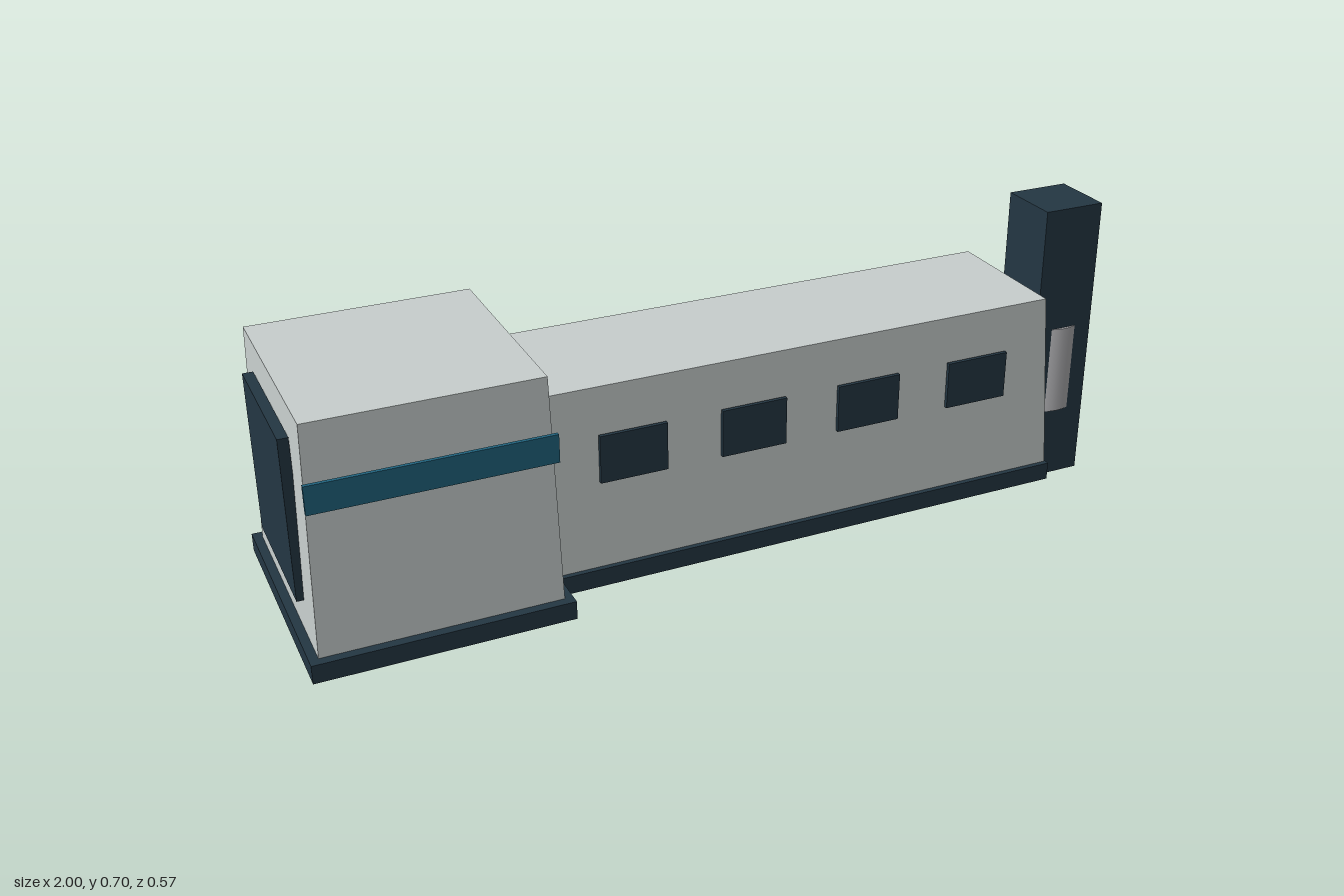
import * as THREE from 'three';

const material = (name, color) => {
  const m = new THREE.MeshStandardMaterial({ color });
  m.name = name;
  return m;
};

export function createModel() {
  const shell = material('pale grey shell', 0xc8cfce);
  const dark = material('dark slate', 0x243743);
  const teal = material('teal stripe', 0x21647f);
  const metal = material('light metal', 0xb4b4b7);

  const model = new THREE.Group();
  model.name = 'boardingTunnel';

  const add = (name, geometry, mat) => {
    const mesh = new THREE.Mesh(geometry, mat);
    mesh.name = name;
    model.add(mesh);
    return mesh;
  };

  // Box given by its limits on each axis
  const box = (name, mat, [x0, x1], [y0, y1], [z0, z1]) => {
    const mesh = add(name, new THREE.BoxGeometry(x1 - x0, y1 - y0, z1 - z0), mat);
    mesh.position.set((x0 + x1) / 2, (y0 + y1) / 2, (z0 + z1) / 2);
    return mesh;
  };

  // Box whose top is narrower than its bottom
  const taperedBox = (name, mat, [y0, y1], bottom, top) => {
    const geometry = new THREE.BoxGeometry(1, 1, 1);
    const p = geometry.attributes.position;
    for (let i = 0; i < p.count; i++) {
      const upper = p.getY(i) > 0;
      const end = upper ? top : bottom;
      p.setXYZ(i, p.getX(i) < 0 ? end.x0 : end.x1, upper ? y1 : y0, Math.sign(p.getZ(i)) * end.z);
    }
    geometry.computeVertexNormals();
    return add(name, geometry, mat);
  };

  const cylinder = (name, mat, radius, [y0, y1], x, z, segments) => {
    const mesh = add(name, new THREE.CylinderGeometry(radius, radius, y1 - y0, segments), mat);
    mesh.position.set(x, (y0 + y1) / 2, z);
  };

  // Floor plates
  box('cabinFloor', dark, [-1, -0.435], [0.057, 0.1], [-0.285, 0.285]);
  box('tunnelFloor', dark, [-0.435, 0.825], [0.057, 0.1], [-0.188, 0.188]);

  // Cabin and long tunnel with sloping walls
  taperedBox('cabin', shell, [0.1, 0.617],
    { x0: -0.98, x1: -0.454, z: 0.264 }, { x0: -0.966, x1: -0.466, z: 0.251 });
  taperedBox('tunnel', shell, [0.1, 0.53],
    { x0: -0.5, x1: 0.822, z: 0.176 }, { x0: -0.5, x1: 0.79, z: 0.167 });

  // Dark door panel on the cabin's end
  box('doorPanel', dark, [-0.993, -0.97], [0.18, 0.55], [-0.165, 0.165]);

  // Stripes, windows and feet, the same on both sides
  for (const side of [1, -1]) {
    const stripe = box('cabinStripe', teal, [-0.974, -0.455], [0.432, 0.496], [-0.0045, 0.0045]);
    stripe.position.z = side * 0.2695;
    for (let i = 0; i < 4; i++) {
      const x = -0.255 + i * 0.286;
      const pane = box('window', dark, [x - 0.078, x + 0.078], [0.309, 0.421], [-0.0045, 0.0045]);
      pane.position.z = side * 0.1785;
    }
    cylinder('foot', metal, 0.0105, [0.023, 0.057], -0.735, side * 0.22, 16);
  }

  // Support post with a drum showing through its four faces
  box('post', dark, [0.839, 0.993], [0, 0.705], [-0.077, 0.077]);
  cylinder('postDrum', metal, 0.084, [0.177, 0.398], 0.916, 0, 32);

  return model;
}
